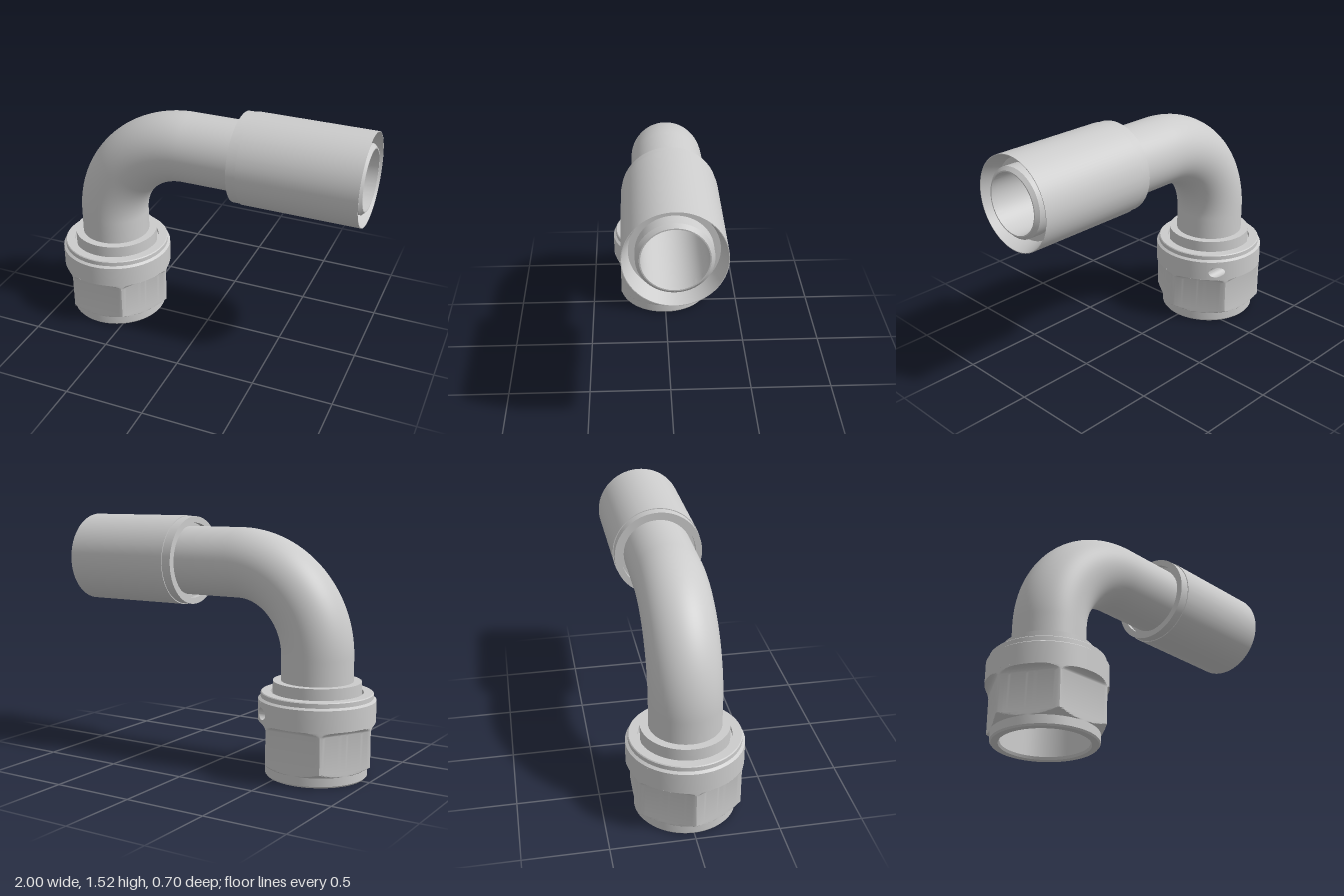
import * as THREE from 'three';
import { toCreasedNormals } from 'three/addons/utils/BufferGeometryUtils.js';

const material = new THREE.MeshStandardMaterial({ color: 0xcccccc, side: THREE.DoubleSide });
const NUT_X = -0.65, PIPE_Y = 1.245, BEND = 0.53;

function part(name, geometry, x = 0, y = 0) {
  const mesh = new THREE.Mesh(geometry, material);
  mesh.name = name;
  mesh.position.set(x, y, 0);
  return mesh;
}

// Turned part with sharp edges; profile is [radius, height] pairs
function turned(profile, start = 0, length = Math.PI * 2) {
  const points = profile.map(([r, h]) => new THREE.Vector2(r, h));
  return toCreasedNormals(new THREE.LatheGeometry(points, 96, start, length), 0.4);
}

// Smooth surface from equal rows of points; closed around each row
function loft(rows) {
  const n = rows[0].length, index = [];
  for (let i = 0; i < rows.length - 1; i++) {
    for (let j = 0; j < n; j++) {
      const a = i * n + j, b = i * n + (j + 1) % n;
      index.push(a, a + n, b, b, a + n, b + n);
    }
  }
  const geometry = new THREE.BufferGeometry();
  geometry.setAttribute('position', new THREE.Float32BufferAttribute(rows.flat(2), 3));
  geometry.setIndex(index);
  return toCreasedNormals(geometry, 0.4);
}

// Centre line: straight up, quarter bend, straight out along +x
class ElbowCurve extends THREE.Curve {
  constructor(y0, x1) {
    super();
    this.y0 = y0;
    this.x1 = x1;
  }
  getPoint(t, target = new THREE.Vector3()) {
    const cx = NUT_X + BEND, cy = PIPE_Y - BEND;
    const rise = cy - this.y0, arc = BEND * Math.PI / 2;
    const s = t * (rise + arc + this.x1 - cx);
    if (s < rise) return target.set(NUT_X, this.y0 + s, 0);
    if (s > rise + arc) return target.set(cx + s - rise - arc, PIPE_Y, 0);
    const a = (s - rise) / BEND;
    return target.set(cx - BEND * Math.cos(a), cy + BEND * Math.sin(a), 0);
  }
}

// Hexagon whose corners are turned down by a chamfer and whose top flares into the collar
function hexBody() {
  const heights = [0.06, 0.065, 0.07, 0.075, 0.08, 0.085, 0.09, 0.3];
  for (let i = 1; i <= 8; i++) heights.push(0.3 + 0.035 * Math.sin(i * Math.PI / 16));
  const rows = heights.map((y) => {
    const clip = Math.min(0.35, 0.305 + (y - 0.06) * 1.5);
    const t = Math.min(1, Math.max(0, (y - 0.3) / 0.035));
    const apothem = 0.305 + 0.045 * (1 - Math.sqrt(1 - t * t));
    return Array.from({ length: 180 }, (_, j) => {
      const a = j * Math.PI / 90;
      const r = Math.min(clip, apothem / Math.cos(a % (Math.PI / 3) - Math.PI / 6));
      return [r * Math.cos(a), y, r * Math.sin(a)];
    });
  });
  return loft(rows);
}

// Piece of the collar wall around a blind hole drilled along x
function drilledPatch() {
  const R = 0.35, N = 48, hz = -0.265, hy = 0.39, hr = 0.035;
  const ring = (k, depth) => Array.from({ length: N }, (_, j) => {
    const a = j * Math.PI * 2 / N, c = Math.cos(a), s = Math.sin(a);
    const m = Math.max(Math.abs(c), Math.abs(s));
    const z = hz + THREE.MathUtils.lerp(hr * c, 0.045 * c / m, k);
    const y = hy + THREE.MathUtils.lerp(hr * s, (s > 0 ? 0.065 : 0.045) * s / m, k);
    return [depth ?? Math.sqrt(R * R - z * z), y, z];
  });
  const floor = Array.from({ length: N }, () => [0.12, hy, hz]);
  const rows = [ring(1), ring(0.75), ring(0.5), ring(0.25), ring(0), ring(0, 0.12), floor];
  return loft(rows.map((row) => row.reverse()).reverse());
}

export function createModel() {
  const group = new THREE.Group();

  // Bent pipe, outside and bore
  group.add(part('bentPipe', new THREE.TubeGeometry(new ElbowCurve(0.42, 0.4), 120, 0.215, 64)));
  group.add(part('pipeBore', new THREE.TubeGeometry(new ElbowCurve(0.42, 0.95), 120, 0.18, 64)));

  // Crimp sleeve with flared mouth, and the nipple inside it
  const sleeve = turned([
    [0.213, 0.25], [0.235, 0.25], [0.235, 0.22], [0.275, 0.22], [0.275, 0.28], [0.28, 0.28],
    [0.28, 1], [0.276, 1], [0.242, 0.9], [0.207, 0.9],
  ]).rotateZ(-Math.PI / 2);
  group.add(part('crimpSleeve', sleeve, 0, PIPE_Y));
  const nipple = turned([[0.207, 0.88], [0.207, 0.98], [0.187, 1], [0.18, 1], [0.18, 0.94]]).rotateZ(-Math.PI / 2);
  group.add(part('hoseNipple', nipple, 0, PIPE_Y));

  // Swivel nut
  const nut = new THREE.Group();
  nut.name = 'swivelNut';
  nut.position.x = NUT_X;
  nut.add(part('nutBoreAndLip', turned([
    [0.18, 0.42], [0.22, 0.36], [0.22, 0.33], [0.25, 0.33], [0.25, 0.015], [0.258, 0],
    [0.297, 0], [0.305, 0.01], [0.305, 0.06],
  ])));
  nut.add(part('hexBody', hexBody()));
  nut.add(part('collarBase', turned([[0.35, 0.335], [0.35, 0.345]])));
  // Collar wall leaves a gap that the drilled patch fills
  const from = Math.acos(-0.22 / 0.35), to = Math.acos(-0.31 / 0.35);
  nut.add(part('collarWall', turned([[0.35, 0.345], [0.35, 0.455]], to, Math.PI * 2 - (to - from))));
  nut.add(part('wireHole', drilledPatch()));
  nut.add(part('collarTop', turned([
    [0.35, 0.455], [0.35, 0.463], [0.334, 0.474], [0.334, 0.5], [0.329, 0.505], [0.275, 0.505],
    [0.275, 0.48], [0.263, 0.48],
  ])));
  nut.add(part('pipeShoulder', turned([[0.263, 0.48], [0.263, 0.57], [0.213, 0.57]])));
  group.add(nut);

  return group;
}
